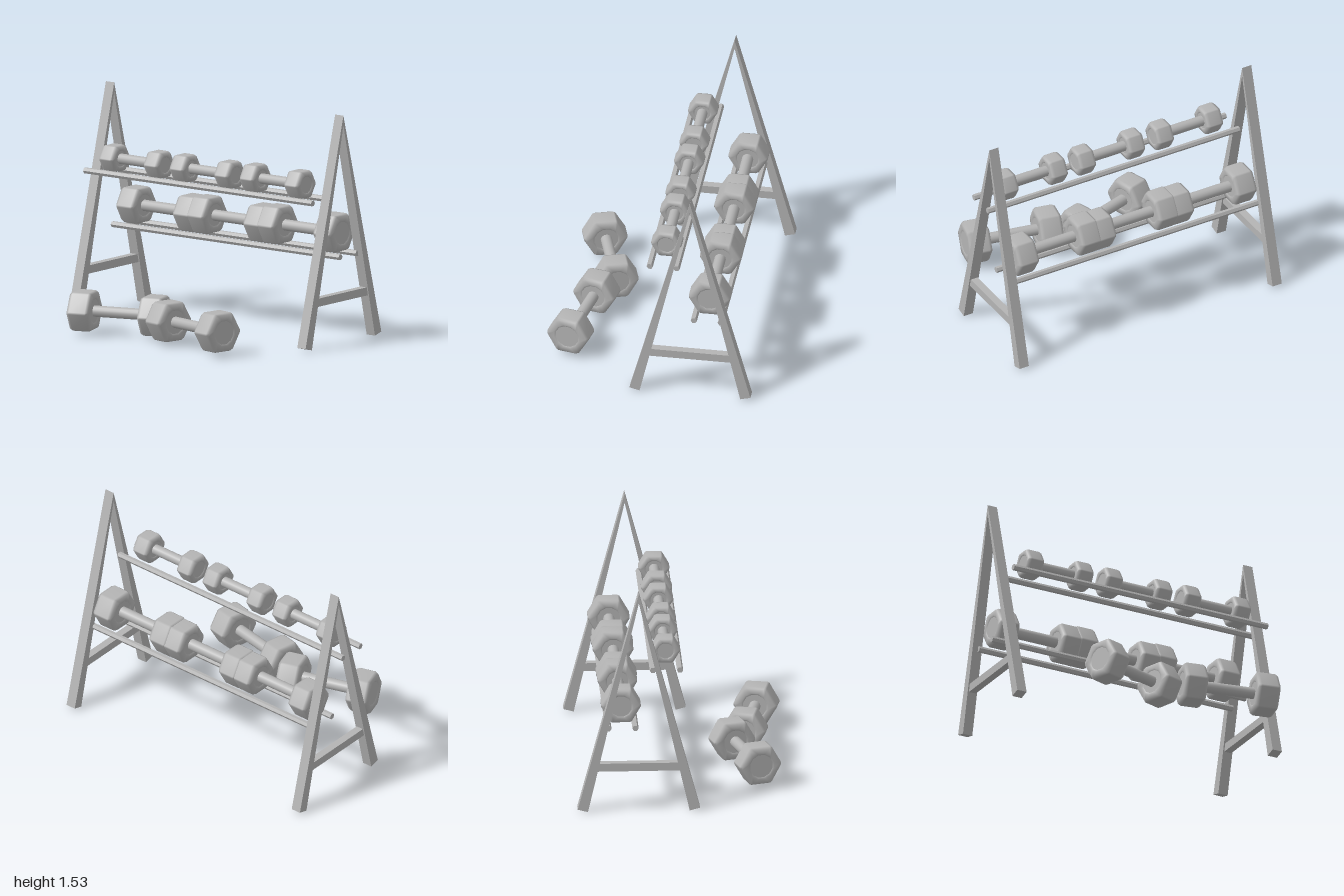
import * as THREE from 'three';

const steel = new THREE.MeshStandardMaterial({ color: 0xb4b4b4 });
steel.name = 'grey steel';

function mesh(geometry, name, parent) {
  const m = new THREE.Mesh(geometry, steel);
  m.name = name;
  parent.add(m);
  return m;
}

// Hexagonal weight with softened corners, lofted along x, with a shallow round recess at each end
function headGeometry(apothem, length) {
  const h = length / 2, a = apothem, deg = Math.PI / 180;
  const corner = a / Math.cos(27 * deg);
  const half = [
    [h - 0.006, 0.6 * a / 0.866 * 0.9, 15],
    [h, 0.72 * a, 13],
    [h - 0.003, corner * 0.92, 4],
    [h - 0.022, corner, 3],
  ];
  const rows = [
    ...half.map(([x, r, s]) => [-x, r, s]),
    ...half.slice().reverse(),
  ];
  const pos = [], idx = [];
  for (const [x, r, s] of rows) {
    for (let j = 0; j < 12; j++) {
      const t = (Math.floor(j / 2) * 60 + (j % 2 ? s : -s)) * deg;
      pos.push(x, r * Math.sin(t), r * Math.cos(t));
    }
  }
  for (let i = 0; i < rows.length - 1; i++) {
    for (let j = 0; j < 12; j++) {
      const p = i * 12 + j, q = i * 12 + (j + 1) % 12;
      idx.push(p, p + 12, q + 12, p, q + 12, q);
    }
  }
  const g = new THREE.BufferGeometry();
  g.setAttribute('position', new THREE.Float32BufferAttribute(pos, 3));
  g.setIndex(idx);
  g.computeVertexNormals();
  return { g, discRadius: half[0][1], discX: half[0][0] };
}

// Dumbbell along x: two heads and a round handle
function dumbbell(name, apothem, length, spacing, handleRadius) {
  const group = new THREE.Group();
  group.name = name;
  const { g, discRadius, discX } = headGeometry(apothem, length);
  for (const side of [-1, 1]) {
    const head = mesh(g, 'weightHead', group);
    head.position.x = side * spacing / 2;
    for (const end of [-1, 1]) {
      const disc = new THREE.CircleGeometry(discRadius, 12, Math.PI / 12);
      disc.rotateY(end * Math.PI / 2);
      mesh(disc, 'headDisc', head).position.x = end * discX;
    }
  }
  const handle = new THREE.CylinderGeometry(handleRadius, handleRadius, spacing - length + 0.02, 16);
  handle.rotateZ(Math.PI / 2);
  mesh(handle, 'handle', group);
  return group;
}

// Prism of a (z, y) outline, extruded across x
function sidePlate(points, width) {
  const shape = new THREE.Shape(points.map(([z, y]) => new THREE.Vector2(-z, y)));
  const g = new THREE.ExtrudeGeometry(shape, { depth: width, bevelEnabled: false });
  g.translate(0, 0, -width / 2);
  g.rotateY(Math.PI / 2);
  return g;
}

export function createModel() {
  const model = new THREE.Group();
  model.name = 'dumbbellRack';

  // A-shaped end frames
  const apexZ = -0.305;
  for (const side of [-1, 1]) {
    const frame = new THREE.Group();
    frame.name = side > 0 ? 'leftFrame' : 'rightFrame';
    frame.position.x = side * 0.965;
    model.add(frame);
    const legs = [
      [apexZ + 0.405, 0.018], [apexZ, 1.53], [apexZ - 0.405, 0.018], [apexZ - 0.337, 0],
      [apexZ, 1.465], [apexZ + 0.337, 0],
    ];
    mesh(sidePlate(legs, 0.07), 'legs', frame);
    const bar = [
      [apexZ + 0.285, 0.28], [apexZ + 0.272, 0.335],
      [apexZ - 0.272, 0.335], [apexZ - 0.285, 0.28],
    ];
    mesh(sidePlate(bar, 0.052), 'crossbar', frame);
  }

  // Hexagonal support rails, two per tier
  for (const [y, z] of [[0.975, -0.03], [0.975, -0.21], [0.57, -0.325], [0.57, -0.505]]) {
    const g = new THREE.CylinderGeometry(0.021, 0.021, 1.92, 6).toNonIndexed();
    g.computeVertexNormals();
    g.rotateZ(Math.PI / 2);
    mesh(g, 'rail', model).position.set(0, y, z);
  }

  // Racked dumbbells, three per tier, growing slightly towards +x
  const xs = [-0.595, 0, 0.592];
  [0.087, 0.0885, 0.0915].forEach((a, i) => {
    const d = dumbbell('smallDumbbell', a, 0.12, 0.375, 0.035);
    d.position.set(xs[i], 0.98 + a, -0.12);
    model.add(d);
  });
  [0.117, 0.12, 0.1235].forEach((a, i) => {
    const d = dumbbell('largeDumbbell', a, 0.15, 0.478, 0.038);
    d.position.set(xs[i], 0.588 + a, -0.418);
    model.add(d);
  });

  // Pair lying in front of the rack
  for (const [x, z, turn] of [[-0.305, 0.43, 0.3], [0.368, 0.503, -0.2]]) {
    const d = dumbbell('floorDumbbell', 0.129, 0.155, 0.5, 0.038);
    d.position.set(x, 0.16, z);
    d.rotation.y = turn;
    model.add(d);
  }
  return model;
}
